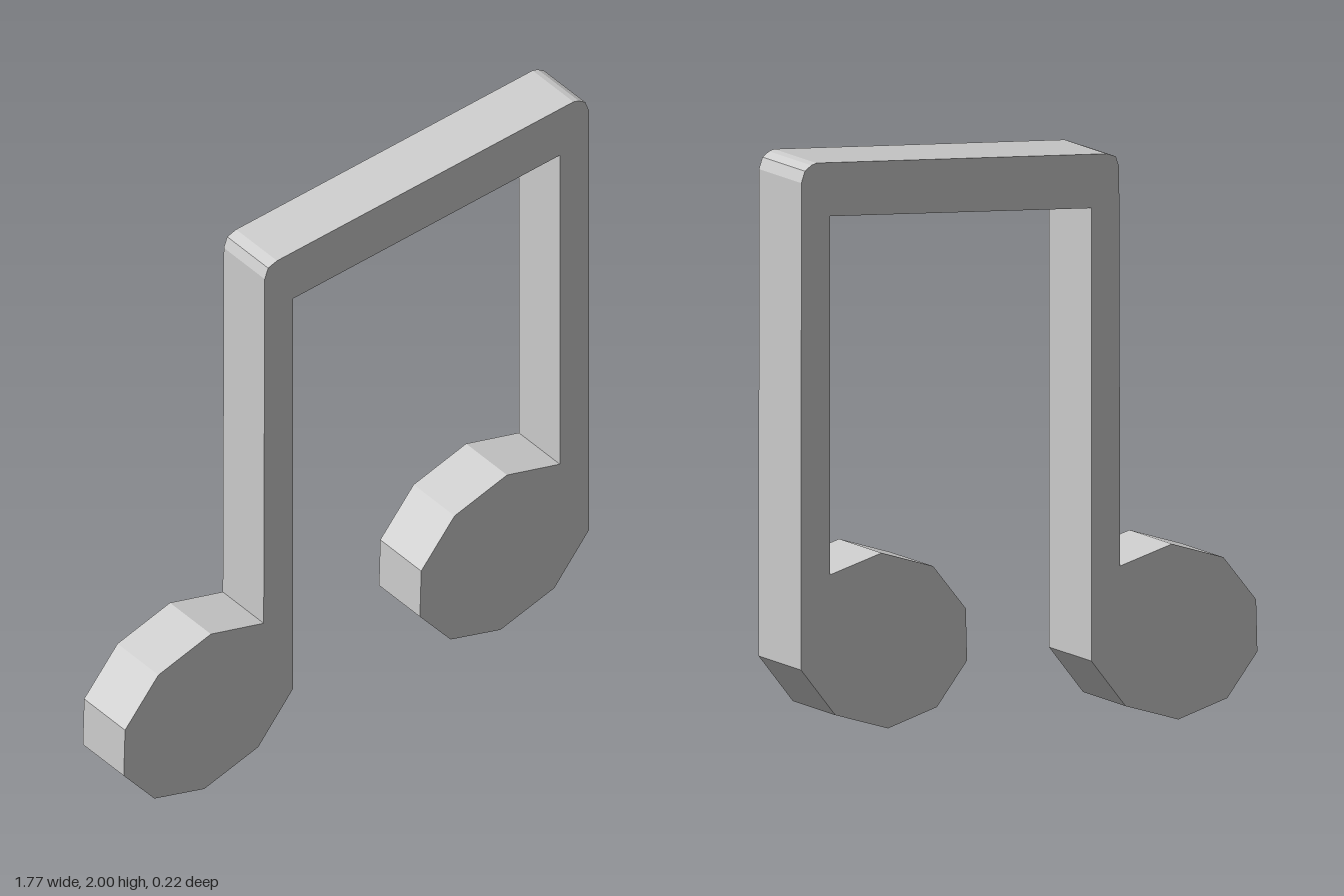
import * as THREE from 'three';

const DEPTH = 0.216;

// Faceted note head, clockwise from the stem's outer side to its inner corner
const HEAD = [
  [-0.242, 0.24], [-0.375, 0.075], [-0.58, 0], [-0.77, 0.038], [-0.887, 0.168],
  [-0.882, 0.335], [-0.755, 0.49], [-0.555, 0.564], [-0.354, 0.526],
];
const headAt = (dx, dy) => HEAD.map(([x, y]) => [x + dx, y + dy]);

export function createModel() {
  const group = new THREE.Group();
  group.name = 'beamedNotes';

  // One continuous outline: left head, sloping beam, right head, inner opening
  const outline = [
    ...headAt(0, 0),
    [-0.35, 1.8], [-0.337, 1.836], [-0.303, 1.85],          // left beam corner
    [0.826, 2], [0.846, 1.996], [0.871, 1.981], [0.885, 1.945], // right beam corner
    ...headAt(1.128, 0.151),
    [0.774, 1.822], [-0.242, 1.686],                        // underside of the beam
  ];
  const shape = new THREE.Shape(outline.map(([x, y]) => new THREE.Vector2(x, y)));
  const geometry = new THREE.ExtrudeGeometry(shape, { depth: DEPTH, bevelEnabled: false });
  geometry.translate(0, 0, -DEPTH / 2);

  const material = new THREE.MeshStandardMaterial({ color: 0xcccccc, flatShading: true });
  const notes = new THREE.Mesh(geometry, material);
  notes.name = 'noteHeadsStemsAndBeam';
  group.add(notes);
  return group;
}
